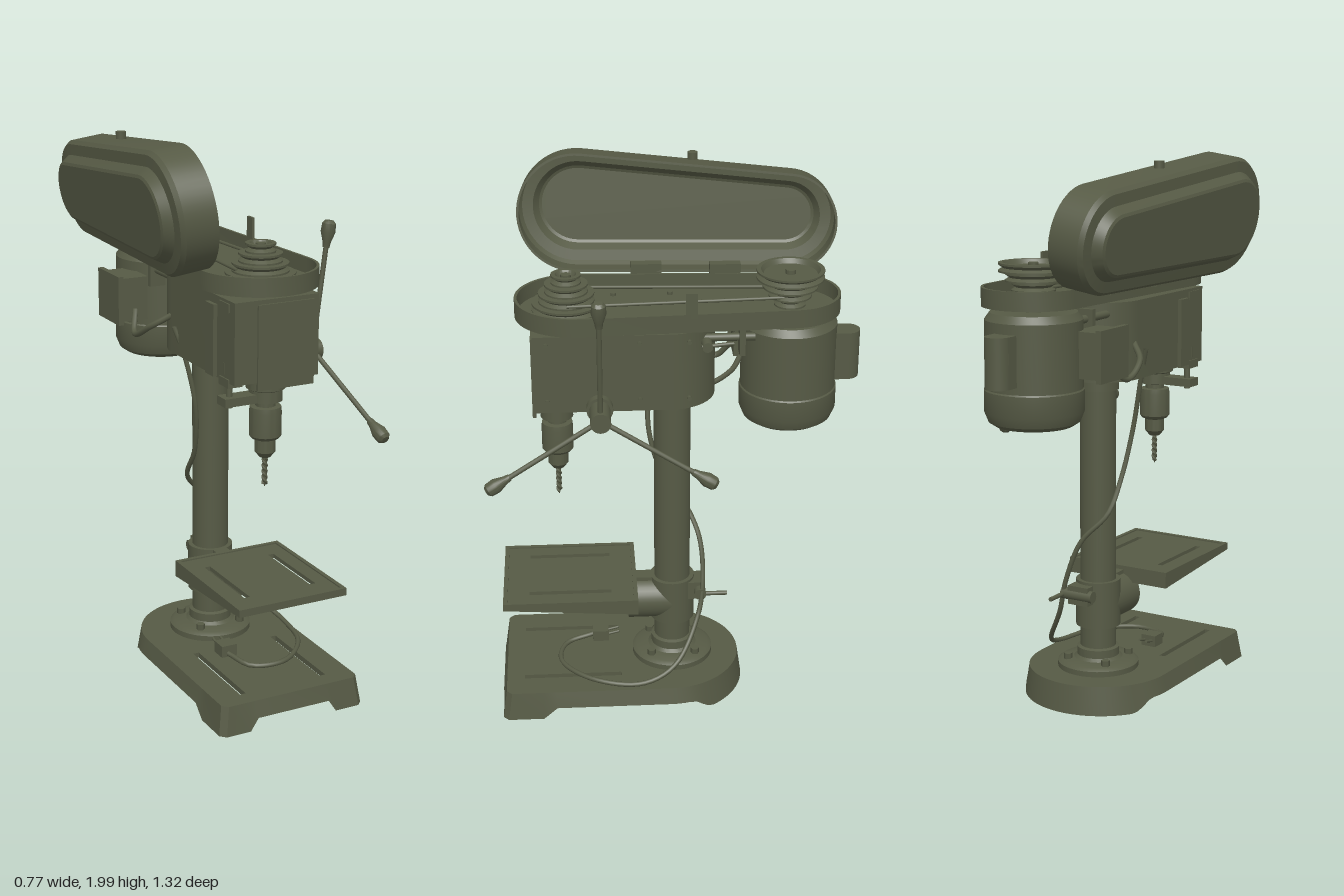
import * as THREE from 'three';
import { toCreasedNormals } from 'three/addons/utils/BufferGeometryUtils.js';

const CX = 0.04; // centre line of the machine
const olive = new THREE.MeshStandardMaterial({ color: 0x565a45, side: THREE.DoubleSide });
olive.name = 'olive paint';
const V = (x, y, z) => new THREE.Vector3(x, y, z);
const clamp01 = (t) => Math.min(1, Math.max(0, t));

export function createModel() {
  const model = new THREE.Group();
  model.name = 'drillPress';

  const add = (name, geo, x = 0, y = 0, z = 0, parent = model) => {
    const m = new THREE.Mesh(geo, olive);
    m.name = name;
    m.position.set(x, y, z);
    parent.add(m);
    return m;
  };
  const box = (name, x0, x1, y0, y1, z0, z1) =>
    add(name, new THREE.BoxGeometry(x1 - x0, y1 - y0, z1 - z0), (x0 + x1) / 2, (y0 + y1) / 2, (z0 + z1) / 2);
  // cylinder between two points
  const rod = (name, a, b, r, r2 = r, sides = 20) => {
    const d = b.clone().sub(a);
    const m = add(name, new THREE.CylinderGeometry(r2, r, d.length(), sides));
    m.position.copy(a).addScaledVector(d, 0.5);
    m.quaternion.setFromUnitVectors(V(0, 1, 0), d.normalize());
    return m;
  };
  const latheGeo = (profile, sides = 48) =>
    toCreasedNormals(new THREE.LatheGeometry(profile.map((p) => new THREE.Vector2(...p)), sides), 0.5);
  const tube = (name, pts, r) =>
    add(name, new THREE.TubeGeometry(new THREE.CatmullRomCurve3(pts.map((p) => V(...p))), 80, r, 8));
  // horizontal plate extruded down from its top
  const plate = (name, shape, depth, top) => {
    const g = new THREE.ExtrudeGeometry(shape, { depth, bevelEnabled: false, curveSegments: 24 });
    return add(name, toCreasedNormals(g.rotateX(Math.PI / 2), 0.5), 0, top, 0);
  };
  const shapeOf = (pts) => new THREE.Shape(pts.map((p) => new THREE.Vector2(p[0], p[1])));
  const slot = (x, z0, z1, w) =>
    new THREE.Path([[x - w, z0], [x - w, z1], [x + w, z1], [x + w, z0]].map((p) => new THREE.Vector2(...p)));
  // skin through closed rings of equal length
  const loft = (rings) => {
    const n = rings[0].length, idx = [];
    for (let j = 0; j < rings.length - 1; j++)
      for (let i = 0; i < n; i++) {
        const a = j * n + i, b = j * n + ((i + 1) % n);
        idx.push(a, a + n, b, b, a + n, b + n);
      }
    const g = new THREE.BufferGeometry();
    g.setAttribute('position', new THREE.Float32BufferAttribute(rings.flat(2), 3));
    g.setIndex(idx);
    return toCreasedNormals(g, 0.5);
  };

  // ---- base: hollow casting, round at the back, with notches between the feet
  const baseOutline = (inset) => {
    const h = 0.283 - inset, f = 0.64 - inset, pts = [];
    for (const x of [-0.17, -0.14, 0.14, 0.17, h - 0.02]) pts.push([CX + x, f]);
    for (const z of [f - 0.02, 0.49, 0.44, 0.2]) pts.push([CX + h, z]);
    for (let i = 0; i <= 36; i++) {
      const t = (i / 36) * Math.PI;
      pts.push([CX + h * Math.cos(t), 0.02 - h * Math.sin(t)]);
    }
    for (const z of [0.2, 0.44, 0.49, f - 0.02]) pts.push([CX - h, z]);
    pts.push([CX - h + 0.02, f]);
    return pts;
  };
  const footY = ([x, z]) => 0.045 * (z > 0.6
    ? clamp01((0.17 - Math.abs(x - CX)) / 0.03)
    : Math.min(clamp01((0.49 - z) / 0.05), clamp01((z + 0.13) / 0.06)));
  const rim = baseOutline(0), top = baseOutline(0.015);
  add('baseWall', loft([rim.map((p) => [p[0], footY(p), p[1]]), top.map((p) => [p[0], 0.105, p[1]])]));
  const baseTop = shapeOf(top);
  for (const s of [-1, 1]) baseTop.holes.push(slot(CX + s * 0.16, 0.2, 0.56, 0.011));
  plate('baseTop', baseTop, 0.02, 0.105);
  add('baseFlange', latheGeo([[0, 0.08], [0.15, 0.08], [0.15, 0.125], [0.135, 0.135], [0.09, 0.14],
    [0.078, 0.15], [0.078, 0.18], [0.066, 0.185]]), CX);
  for (let i = 0; i < 4; i++) {
    const t = Math.PI / 4 + (i * Math.PI) / 2;
    add('flangeBolt', new THREE.CylinderGeometry(0.016, 0.016, 0.025, 6), CX + 0.115 * Math.cos(t), 0.145, 0.115 * Math.sin(t));
  }

  // ---- column
  rod('column', V(CX, 0.1, 0), V(CX, 1.22, 0), 0.066, 0.066, 40);
  rod('columnCollar', V(CX, 1.15, 0), V(CX, 1.2, 0), 0.076, 0.076, 40);

  // ---- table, bracket and clamp
  const table = shapeOf([[-0.17, 0.135], [0.25, 0.135], [0.25, 0.625], [-0.17, 0.625]]);
  for (const s of [-1, 1]) table.holes.push(slot(CX + s * 0.13, 0.23, 0.53, 0.011));
  plate('tableTop', table, 0.015, 0.45);
  const sideShape = shapeOf([[0.135, 0.455], [0.625, 0.455], [0.625, 0.428], [0.135, 0.395]]);
  for (const x of [-0.17, 0.235]) {
    const g = new THREE.ExtrudeGeometry(sideShape, { depth: 0.015, bevelEnabled: false });
    add('tableSide', g.rotateY(-Math.PI / 2), x + 0.015, 0, 0);
  }
  box('tableFrontLip', -0.17, 0.25, 0.428, 0.455, 0.61, 0.625);
  box('tableBackLip', -0.17, 0.25, 0.395, 0.455, 0.135, 0.15);
  const arm = shapeOf([[0.05, 0.44], [0.41, 0.44], [0.41, 0.37], [0.05, 0.335]]);
  add('tableArm', new THREE.ExtrudeGeometry(arm, { depth: 0.055, bevelEnabled: false }).rotateY(-Math.PI / 2), CX + 0.0275);
  rod('tableSwivel', V(CX, 0.348, 0), V(CX, 0.348, 0.165), 0.082, 0.082, 36);
  rod('columnClamp', V(CX, 0.265, 0), V(CX, 0.44, 0), 0.082, 0.082, 36);
  box('clampLug', 0.015, 0.1, 0.36, 0.43, -0.115, -0.05);
  rod('clampScrew', V(0, 0.395, -0.1), V(0.13, 0.395, -0.1), 0.022);
  rod('clampLever', V(0.12, 0.395, -0.1), V(0.12, 0.395, -0.2), 0.008);

  // ---- head casting, round at the back
  const headPts = [[-0.12, 0.485], [0.2, 0.485]];
  for (let i = 0; i <= 24; i++) {
    const t = (i / 24) * Math.PI;
    headPts.push([CX + 0.16 * Math.cos(t), 0.01 - 0.16 * Math.sin(t)]);
  }
  plate('head', shapeOf(headPts), 0.283, 1.48);
  box('headFrontPlate', -0.035, 0.18, 1.17, 1.465, 0.48, 0.492);
  rod('headNeck', V(CX, 1.46, 0.365), V(CX, 1.51, 0.365), 0.09, 0.09, 32);
  for (const z of [0.44, 0.12, -0.05])
    for (const y of [1.24, 1.45]) rod('headScrew', V(0.195, y, z), V(0.207, y, z), 0.008, 0.008, 8);

  // ---- quill, chuck and bit
  add('quill', latheGeo([[0.068, 1.2], [0.068, 1.155], [0.058, 1.15], [0.058, 1.11], [0.035, 1.105], [0.035, 1.09],
    [0.054, 1.088], [0.056, 1.07], [0.056, 0.985], [0.048, 0.975], [0.036, 0.97], [0.036, 0.925], [0.02, 0.905], [0, 0.905]]), CX, 0, 0.41);
  rod('drillBit', V(CX, 0.82, 0.41), V(CX, 0.92, 0.41), 0.008, 0.008, 8);
  rod('drillTip', V(CX, 0.795, 0.41), V(CX, 0.82, 0.41), 0.001, 0.008, 8);
  for (const s of [0, Math.PI]) {
    const flute = [];
    for (let i = 0; i <= 24; i++) flute.push([CX + 0.006 * Math.cos(s + i * 0.6), 0.805 + i * 0.004, 0.41 + 0.006 * Math.sin(s + i * 0.6)]);
    tube('drillFlute', flute, 0.005);
  }

  // ---- depth stop on the right of the head
  box('depthStopArm', -0.13, 0.03, 1.11, 1.14, 0.38, 0.44);
  rod('depthStopRod', V(-0.1, 1.1, 0.41), V(-0.1, 1.46, 0.41), 0.011);
  for (const y of [1.18, 1.44]) box('depthStopBracket', -0.125, -0.07, y, y + 0.03, 0.38, 0.45);
  rod('depthStopNut', V(-0.1, 1.22, 0.41), V(-0.1, 1.26, 0.41), 0.022, 0.022, 12);
  box('depthScale', -0.135, -0.12, 1.2, 1.45, 0.3, 0.36);

  // ---- feed hub with three handles
  const hub = V(0.31, 1.215, 0.26);
  rod('feedHub', V(0.18, 1.215, 0.26), V(0.335, 1.215, 0.26), 0.036, 0.036, 28);
  rod('feedDial', V(0.195, 1.215, 0.26), V(0.23, 1.215, 0.26), 0.046, 0.046, 28);
  for (let i = 0; i < 3; i++) {
    const t = Math.PI / 2 + (i * Math.PI * 2) / 3;
    const dir = V(0.13, Math.sin(t), Math.cos(t)).normalize();
    const at = (d) => hub.clone().addScaledVector(dir, d);
    rod('feedSpoke', at(0.01), at(0.39), 0.009, 0.009, 12);
    const knob = add('feedKnob', latheGeo([[0, 0], [0.012, 0], [0.015, 0.02], [0.026, 0.055], [0.024, 0.085], [0.015, 0.095], [0, 0.097]], 20));
    knob.position.copy(at(0.365));
    knob.quaternion.setFromUnitVectors(V(0, 1, 0), dir);
  }

  // ---- belt tray and its open lid share one tapered outline
  const guard = (inset) => {
    const a = 0.047, pts = [];
    const arc = (z, r, t0, t1) => {
      for (let i = 0; i <= 28; i++) {
        const t = t0 + ((t1 - t0) * i) / 28;
        pts.push([CX + 0.003 + (r - inset) * Math.cos(t), z + (r - inset) * Math.sin(t)]);
      }
    };
    arc(0.335, 0.21, -a, Math.PI + a);
    arc(-0.41, 0.175, Math.PI + a, 2 * Math.PI - a);
    return pts;
  };
  const guardLoft = (rings) => loft(rings.map(([inset, y]) => guard(inset).map(([x, z]) => [x, y, z])));
  add('trayWall', guardLoft([[0.01, 1.51], [0.01, 1.565], [0, 1.565], [0, 1.5]]));
  plate('trayFloor', shapeOf(guard(0.002)), 0.008, 1.51);

  const yaw = -0.051;
  const open = (g) => g.translate(0.167, 0, -0.335).rotateY(-yaw).rotateZ(THREE.MathUtils.degToRad(98))
    .rotateY(yaw).translate(-0.167, 1.572, 0.335);
  add('lidWall', open(guardLoft([[0.008, 0], [0, 0], [0, 0.115], [0.012, 0.13], [0.05, 0.135], [0.07, 0.165], [0.08, 0.17]])));
  add('lidPanel', open(new THREE.ShapeGeometry(shapeOf(guard(0.08))).rotateX(Math.PI / 2).translate(0, 0.17, 0)));
  for (const [x, z] of [[-0.155, -0.2], [-0.172, 0.08]]) box('lidHinge', x - 0.015, x + 0.02, 1.53, 1.6, z - 0.055, z + 0.055);
  box('latch', 0.225, 0.235, 1.55, 1.64, -0.075, -0.035);
  rod('lidCatch', V(-0.26, 1.95, -0.09), V(-0.26, 1.975, -0.09), 0.018, 0.018, 12);

  // ---- stepped pulleys and belt
  const pulley = (name, radii, z) => {
    const prof = [[0, 1.515]];
    radii.forEach((r, i) => {
      const y = 1.515 + i * 0.033;
      prof.push([r, y], [r, y + 0.006], [r - 0.014, y + 0.015], [r, y + 0.025], [r, y + 0.032]);
    });
    prof.push([radii[3] - 0.015, 1.646], [radii[3] - 0.025, 1.63], [0.018, 1.63], [0.018, 1.645], [0, 1.645]);
    add(name, latheGeo(prof), CX, 0, z);
  };
  pulley('spindlePulley', [0.12, 0.097, 0.075, 0.052], 0.365);
  pulley('motorPulley', [0.055, 0.075, 0.096, 0.118], -0.41);
  for (const s of [-1, 1]) rod('belt', V(CX + s * 0.05, 1.56, -0.41), V(CX + s * 0.09, 1.56, 0.365), 0.006, 0.006, 8);
  for (const z of [0, 0.2])
    for (const x of [-0.09, 0.175]) rod('trayBolt', V(x, 1.505, z), V(x, 1.52, z), 0.01, 0.01, 8);

  // ---- motor
  add('motor', latheGeo([[0, 1.095], [0.06, 1.09], [0.135, 1.09], [0.158, 1.105], [0.172, 1.14], [0.172, 1.215],
    [0.168, 1.22], [0.168, 1.455], [0.15, 1.48], [0, 1.48]], 56), CX, 0, -0.41);
  rod('motorShaft', V(CX, 1.48, -0.41), V(CX, 1.52, -0.41), 0.04);
  for (const r of [0.04, 0.075, 0.11])
    add('motorVent', new THREE.TorusGeometry(r, 0.005, 6, 36).rotateX(Math.PI / 2), CX, 1.09, -0.41);
  box('capacitorCover', 0, 0.09, 1.245, 1.42, -0.62, -0.55);
  rod('capacitorBack', V(0.045, 1.245, -0.615), V(0.045, 1.42, -0.615), 0.045, 0.045, 28);
  box('switchBox', -0.2, -0.1, 1.26, 1.42, -0.39, -0.23);
  box('switchBoxLid', -0.22, -0.2, 1.25, 1.43, -0.4, -0.22);

  // ---- motor mount
  for (const x of [-0.06, 0.14]) {
    rod('mountRod', V(x, 1.44, -0.05), V(x, 1.44, -0.28), 0.014);
    box('mountPlate', x - 0.03, x + 0.03, 1.38, 1.475, -0.245, -0.225);
  }
  rod('tensionKnob', V(0.18, 1.44, -0.11), V(0.23, 1.44, -0.11), 0.018);
  rod('tensionLever', V(0.22, 1.44, -0.09), V(0.22, 1.45, -0.2), 0.007);

  // ---- cables and plug
  tube('motorCable', [[-0.15, 1.3, -0.23], [-0.18, 1.23, -0.17], [-0.17, 1.28, -0.06], [-0.11, 1.33, 0]], 0.011);
  tube('switchCable', [[0.05, 1.33, -0.24], [0.06, 1.28, -0.21], [0.05, 1.22, -0.13], [0.04, 1.2, -0.06]], 0.01);
  tube('powerCord', [[-0.13, 1.3, 0.05], [-0.1, 1.2, 0.07], [-0.06, 1.0, 0.08], [-0.04, 0.82, 0.03], [-0.03, 0.7, -0.05],
    [0.05, 0.6, -0.1], [0.11, 0.45, -0.11], [0.15, 0.32, -0.09], [0.25, 0.17, 0], [0.29, 0.12, 0.12],
    [0.25, 0.117, 0.3], [0.12, 0.117, 0.42], [0, 0.117, 0.4], [-0.04, 0.13, 0.3]], 0.009);
  box('plug', -0.065, -0.005, 0.117, 0.16, 0.24, 0.3);
  for (const x of [-0.05, -0.02]) rod('plugPin', V(x, 0.14, 0.24), V(x, 0.15, 0.2), 0.005, 0.005, 8);

  return model;
}
